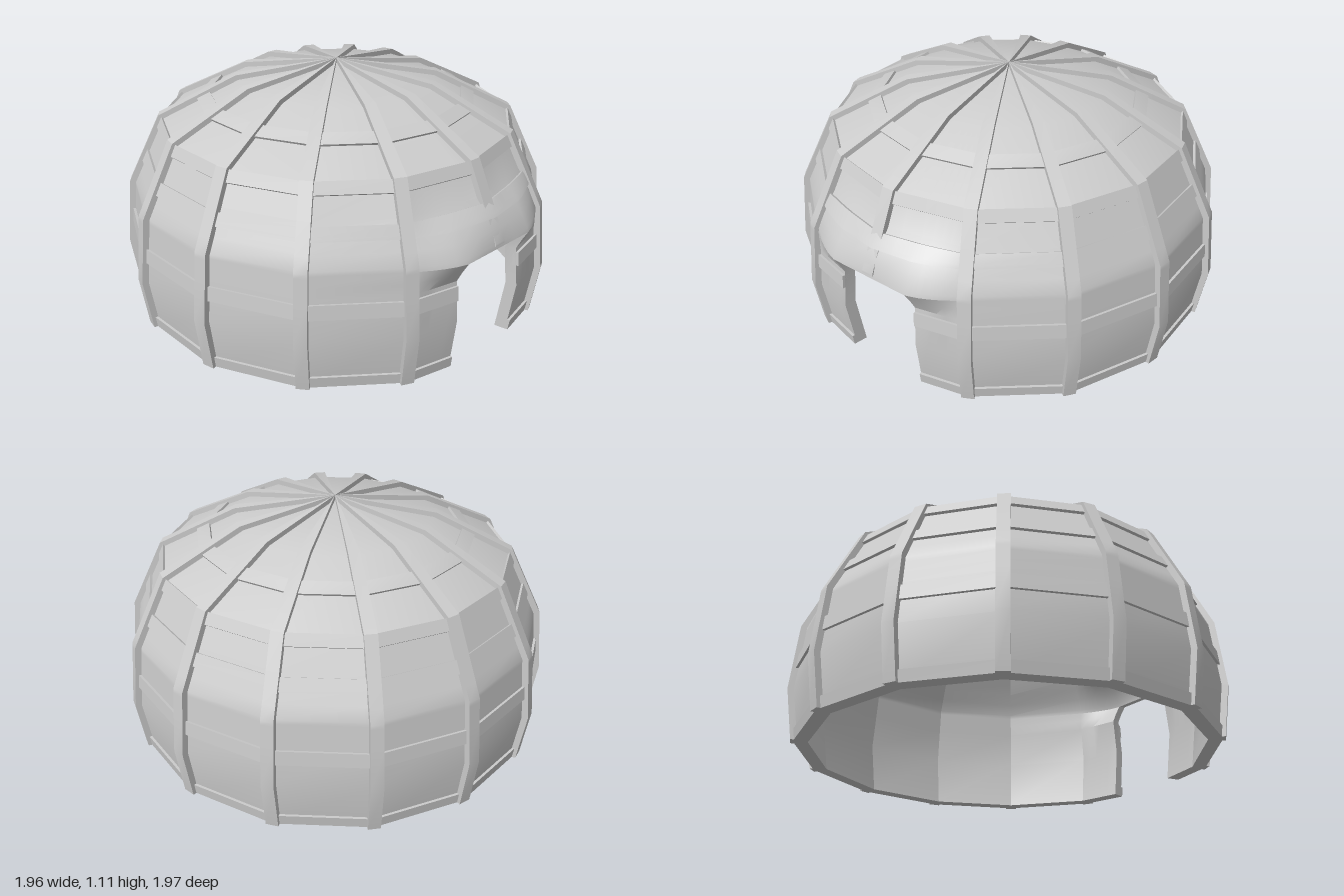
import * as THREE from 'three';
import { toCreasedNormals } from 'three/addons/utils/BufferGeometryUtils.js';

const SIDES = 14, STEP = Math.PI * 2 / SIDES;
const DOOR_U = 0.475, DOOR_TOP = 0.52; // doorway edge in rib units, lintel height

// Dome profile: height, radius, normal (radial, up)
const PROFILE = [
  [0, 0.965, 1, 0], [0.235, 1.0, 1, 0], [0.54, 0.97, 0.96, 0.27],
  [0.86, 0.815, 0.71, 0.7], [1.04, 0.458, 0.29, 0.96], [1.105, 0, 0, 1],
];

// Point [radius, height] on the profile, sunk by depth d
function profileAt(y, d) {
  let i = 0;
  while (i < PROFILE.length - 2 && y > PROFILE[i + 1][0]) i++;
  const a = PROFILE[i], b = PROFILE[i + 1], t = (y - a[0]) / (b[0] - a[0]);
  const mix = (j) => a[j] + (b[j] - a[j]) * t;
  return [Math.max(0, mix(1) - d * mix(2)), y - d * mix(3)];
}

// Point on the faceted dome; u counts ribs round from the front
function domePoint(u, y, d) {
  const [r, h] = profileAt(y, d);
  const k = Math.floor(u), t = u - k, a = k * STEP, b = a + STEP;
  const x = r * THREE.MathUtils.lerp(Math.sin(a), Math.sin(b), t);
  let z = r * THREE.MathUtils.lerp(Math.cos(a), Math.cos(b), t);
  // Flare the wall outward round the lintel
  if (z > 0 && Math.abs(x) < 0.4) {
    const fx = Math.min(1, (0.4 - Math.abs(x)) / 0.2);
    const fy = y >= DOOR_TOP ? 1 - (y - DOOR_TOP) / 0.2 : 1 - (DOOR_TOP - y) / 0.1;
    z += Math.max(0, 0.99 - d - z) * fx * Math.max(0, fy);
  }
  return [x, h, z];
}

// Closed solid lofted through equal rings, each anticlockwise from above
function loft(rings) {
  const pos = [], n = rings[0].length;
  const quad = (a, b, c, d) => pos.push(...a, ...b, ...c, ...a, ...c, ...d);
  for (let j = 0; j < rings.length - 1; j++) {
    const lo = rings[j], hi = rings[j + 1];
    for (let i = 0; i < n; i++) {
      const m = (i + 1) % n;
      quad(lo[i], lo[m], hi[m], hi[i]);
    }
  }
  const bottom = rings[0], top = rings[rings.length - 1];
  for (let i = 0; i < n / 2 - 1; i++) {
    quad(bottom[n - 1 - i], bottom[n - 2 - i], bottom[i + 1], bottom[i]);
    quad(top[i], top[i + 1], top[n - 2 - i], top[n - 1 - i]);
  }
  const geo = new THREE.BufferGeometry();
  geo.setAttribute('position', new THREE.Float32BufferAttribute(pos, 3));
  return toCreasedNormals(geo, 0.4);
}

// Heights from y0 to y1, with the profile kinks and flare steps between
function levels(y0, y1) {
  const steps = [...PROFILE.map((p) => p[0]), 0.42, 0.47, DOOR_TOP, 0.6, 0.66, 0.72];
  const inner = steps.filter((y) => y > y0 + 1e-4 && y < y1 - 1e-4);
  return [y0, ...inner.sort((a, b) => a - b), y1];
}

// Wall running round the dome, from u0 back to the other side of the front
function wall(u0, y0, y1, dOut, dIn) {
  const front = [0, 0.24, DOOR_U, 0.6, 0.7, 0.8, 0.9].filter((u) => u >= u0);
  const us = [...front];
  for (let k = 1; k < SIDES; k++) us.push(k);
  us.push(...front.map((u) => SIDES - u).reverse());
  const back = [...us].reverse();
  return loft(levels(y0, y1).map((y) => [
    ...us.map((u) => domePoint(u, y, dOut)),
    ...back.map((u) => domePoint(u, y, dIn)),
  ]));
}

// Rib following the profile, narrowing to the crown
function rib(y0) {
  return loft(levels(y0, 1.105).map((y) => {
    const [ro, yo] = profileAt(y, 0), [ri, yi] = profileAt(y, 0.05);
    const w = 0.028 * Math.min(1, ro / 0.5);
    return [[-w, yo, ro], [w, yo, ro], [w, yi, ri], [-w, yi, ri]];
  }));
}

export function createModel() {
  const group = new THREE.Group();
  const material = new THREE.MeshStandardMaterial({ color: 0xcccccc });
  const add = (name, geo) => {
    const mesh = new THREE.Mesh(geo, material);
    mesh.name = name;
    group.add(mesh);
    return mesh;
  };

  // Shell, open at the doorway
  add('lowerShell', wall(DOOR_U, 0, DOOR_TOP, 0.022, 0.075));
  add('upperShell', wall(0, DOOR_TOP, 1.105, 0.022, 0.075));

  // Horizontal bands; the low ones stop at the doorway
  const bands = [[0, 0.05], [0.335, 0.4], [0.645, 0.7], [0.81, 0.86], [0.945, 0.975]];
  for (const [y0, y1] of bands) {
    add('band', wall(y0 < DOOR_TOP ? DOOR_U : 0, y0, y1, 0.01, 0.04));
  }

  // Ribs; the front one ends above the doorway
  const fullRib = rib(0);
  for (let k = 0; k < SIDES; k++) {
    const mesh = add(k ? 'rib' : 'frontRib', k ? fullRib : rib(0.53));
    mesh.rotation.y = k * STEP;
  }
  return group;
}
